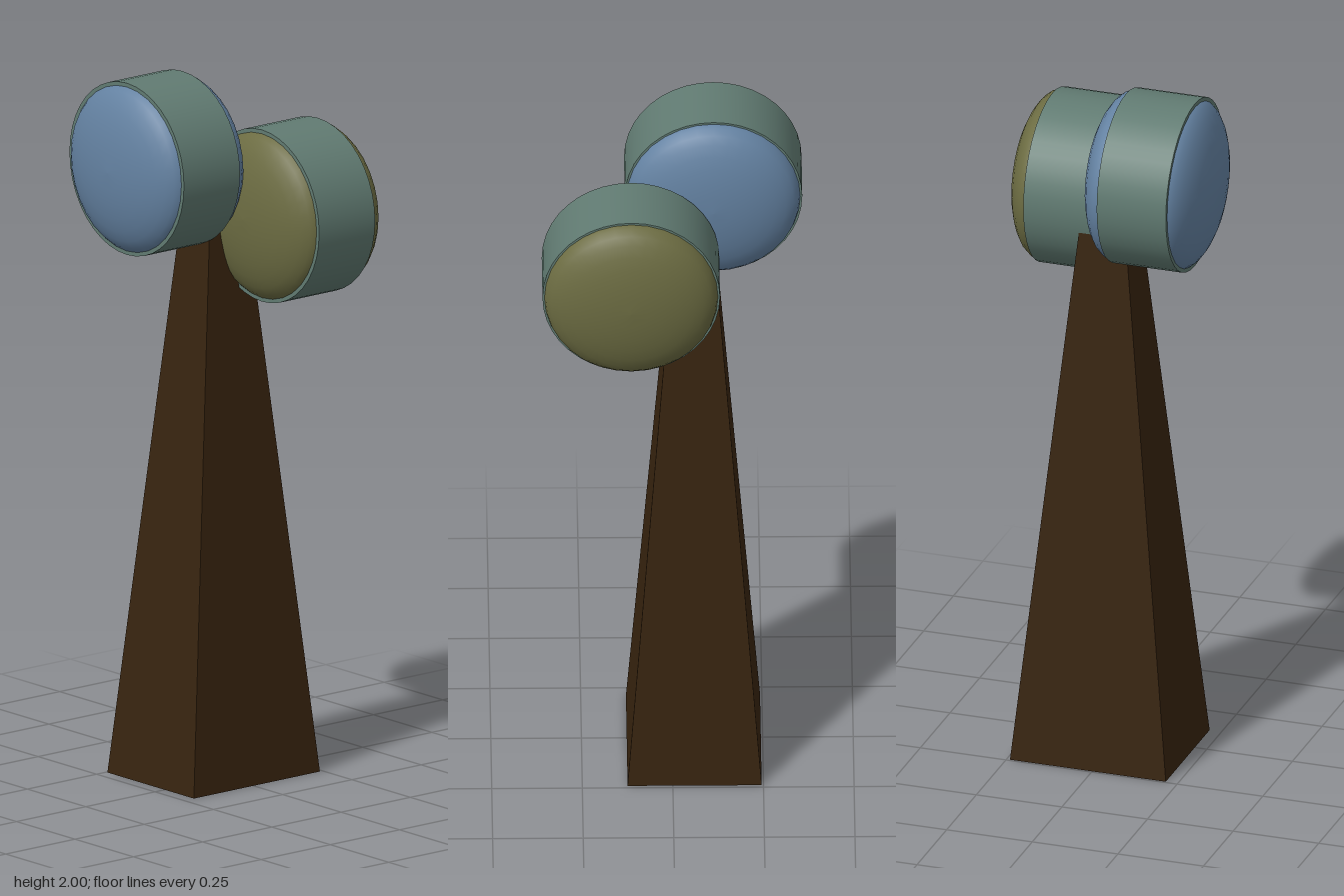
import * as THREE from 'three';

const mat = (name, color) => new THREE.MeshStandardMaterial({ name, color });

// Half ellipsoid bulging along +z (dir 1) or -z (dir -1)
function dome(radius, bulge, dir) {
  const pts = [];
  for (let i = 0; i <= 8; i++) {
    const a = (i / 8) * Math.PI / 2;
    pts.push(new THREE.Vector2(i === 8 ? 0 : radius * Math.cos(a), bulge * Math.sin(a)));
  }
  return new THREE.LatheGeometry(pts, 32).rotateX(dir * Math.PI / 2);
}

// Round lamp: drum with a lens at each end
function lamp(name, x, y, z, frontSeat, backSeat, housing, lens) {
  const g = new THREE.Group();
  g.name = name;
  g.position.set(x, y, z);
  const add = (part, geo, m, pz = 0) => {
    const mesh = new THREE.Mesh(geo, m);
    mesh.name = part;
    mesh.position.z = pz;
    g.add(mesh);
  };
  add('housing', new THREE.CylinderGeometry(0.245, 0.245, 0.202, 40).rotateX(Math.PI / 2), housing);
  add('frontLens', dome(0.24, 0.089, 1), lens, 0.101 - frontSeat);
  add('backLens', dome(0.24, 0.089, -1), lens, -0.101 + backSeat);
  return g;
}

export function createModel() {
  const model = new THREE.Group();
  model.name = 'twinLampPost';
  const wood = mat('darkBrown', 0x38240f);
  const housing = mat('greyGreen', 0x617b72);
  const blue = mat('blueLens', 0x6482a2);
  const olive = mat('oliveLens', 0x6c6c42);

  // Tapering four-sided post
  const h = 1.57;
  const geo = new THREE.BoxGeometry(0.37, h, 0.455).translate(0, h / 2, 0);
  const p = geo.attributes.position;
  for (let i = 0; i < p.count; i++) {
    if (p.getY(i) > h / 2) {
      p.setX(i, Math.sign(p.getX(i)) * 0.063);
      p.setZ(i, Math.sign(p.getZ(i)) * 0.068);
    }
  }
  geo.computeVertexNormals();
  const post = new THREE.Mesh(geo, wood);
  post.name = 'post';
  post.position.set(-0.06, 0, -0.0125);
  model.add(post);

  // Two lamps, offset front and back; the outer blue lens and inner olive lens sit deeper
  model.add(lamp('frontLamp', -0.115, 1.755, 0.154, 0.019, 0.002, housing, blue));
  model.add(lamp('backLamp', 0.115, 1.618, -0.14, 0.019, 0.002, housing, olive));
  return model;
}
